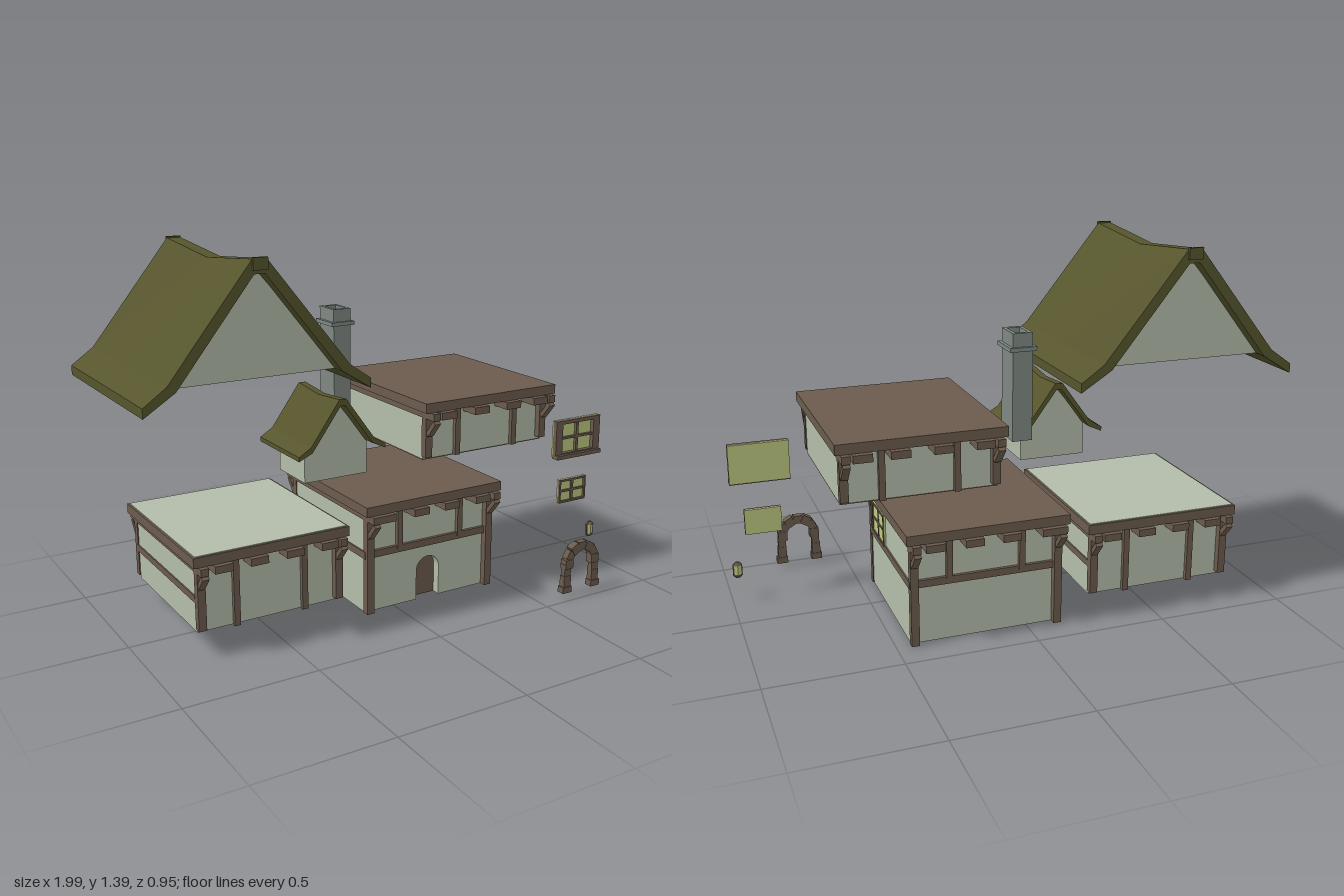
import * as THREE from 'three';

const mat = (name, color) => {
  const m = new THREE.MeshStandardMaterial({ color });
  m.name = name;
  return m;
};
const plaster = mat('plaster', 0xb3bca9);
const timber = mat('timber', 0x6b5b4d);
const thatch = mat('thatch', 0x56552d);
const stone = mat('stone', 0x7f8883);
const glass = mat('glass', 0xbcc880);

const ZC = -0.093; // shared centre line of the buildings

function add(parent, name, geometry, material, x = 0, y = 0, z = 0) {
  const mesh = new THREE.Mesh(geometry, material);
  mesh.name = name;
  mesh.position.set(x, y, z);
  parent.add(mesh);
  return mesh;
}
const box = (parent, name, m, w, h, d, x, y, z) =>
  add(parent, name, new THREE.BoxGeometry(w, h, d), m, x, y, z);

function group(parent, name, x = 0, y = 0, z = 0) {
  const g = new THREE.Group();
  g.name = name;
  g.position.set(x, y, z);
  parent.add(g);
  return g;
}
const polygon = (pts) => new THREE.Shape(pts.map(([x, y]) => new THREE.Vector2(x, y)));
const extrude = (shape, depth) =>
  new THREE.ExtrudeGeometry(shape, { depth, bevelEnabled: false, curveSegments: 8 });

// Bent roof shell: half profiles run from ridge to eave, the ridge sags mid-length
function roofGeometry(outerHalf, innerHalf, z0, z1, sag) {
  const full = (h) => [...h].reverse().map(([x, y]) => [-x, y]).concat(h);
  const outer = full(outerHalf), inner = full(innerHalf);
  const loop = outer.concat([...inner].reverse());
  const top = outerHalf[0][1], low = outerHalf.at(-1)[1];
  const pos = [];
  const at = ([x, y], t) => {
    const k = Math.max(0, (y - low) / (top - low));
    return [x, y - sag * k * (1 - Math.abs(2 * t - 1)), z0 + (z1 - z0) * t];
  };
  const quad = (a, b, c, d) => pos.push(...a, ...b, ...c, ...a, ...c, ...d);
  for (const t of [0, 0.5]) {
    loop.forEach((a, i) => {
      const b = loop[(i + 1) % loop.length];
      quad(at(a, t), at(a, t + 0.5), at(b, t + 0.5), at(b, t));
    });
  }
  for (let i = 0; i < outer.length - 1; i++) {
    quad(at(inner[i], 1), at(inner[i + 1], 1), at(outer[i + 1], 1), at(outer[i], 1));
    quad(at(outer[i], 0), at(outer[i + 1], 0), at(inner[i + 1], 0), at(inner[i], 0));
  }
  const g = new THREE.BufferGeometry();
  g.setAttribute('position', new THREE.Float32BufferAttribute(pos, 3));
  g.computeVertexNormals();
  return g;
}

// Timber-framed storey, identical on front and back
function storey(root, name, o) {
  const g = group(root, name, o.cx, 0, ZC);
  const { w, d, y0, top, slabD, joistD } = o;
  const slabH = 0.037, under = top - slabH, jH = 0.028;
  if (o.door) {
    // Front wall layer holds the arched door recess
    const depth = 0.04, h = under - y0, r = 0.052;
    const { x, spring } = o.door;
    box(g, 'wall', plaster, w, h, d - depth, 0, y0 + h / 2, -depth / 2);
    const s = new THREE.Shape();
    s.moveTo(-w / 2, y0);
    s.lineTo(x - r, y0);
    s.lineTo(x - r, spring);
    s.absarc(x, spring, r, Math.PI, 0, true);
    s.lineTo(x + r, y0);
    s.lineTo(w / 2, y0);
    s.lineTo(w / 2, under);
    s.lineTo(-w / 2, under);
    add(g, 'frontWall', extrude(s, depth), plaster, 0, 0, d / 2 - depth);
    const leaf = new THREE.Shape();
    leaf.moveTo(x - r, y0);
    leaf.lineTo(x + r, y0);
    leaf.lineTo(x + r, spring);
    leaf.absarc(x, spring, r, 0, Math.PI, false);
    add(g, 'door', extrude(leaf, 0.006), timber, 0, 0, d / 2 - depth);
  } else {
    box(g, 'wall', plaster, w, under - y0, d, 0, (under + y0) / 2, 0);
  }
  box(g, 'topFrame', timber, w + 0.045, slabH, slabD, 0, top - slabH / 2, 0);
  if (o.plasterTop) box(g, 'topPanel', plaster, w + 0.03, 0.004, slabD - 0.015, 0, top + 0.001, 0);
  if (o.timberFloor) box(g, 'floor', timber, w, 0.005, d, 0, y0 - 0.002, 0);
  if (o.belt) box(g, 'beltBeam', timber, w + 0.012, 0.028, d + 0.024, 0, o.belt, 0);
  for (const sx of [-1, 1]) {
    box(g, 'sideTopBeam', timber, 0.03, jH, joistD, sx * (w / 2 - 0.01), under - jH / 2, 0);
    if (o.sideBelt) box(g, 'sideBeam', timber, 0.01, 0.025, d, sx * (w / 2), o.sideBelt, 0);
  }
  for (const s of [-1, 1]) {
    const zp = s * (d / 2 + 0.012);
    for (const sx of [-1, 1]) {
      const x = sx * (w / 2 - 0.011), yb = y0 + (o.postLift || 0);
      box(g, 'cornerPost', timber, 0.03, under - yb, 0.028, x, (under + yb) / 2, zp);
      const brace = box(g, 'brace', timber, 0.026, 0.075, 0.018, x, under - 0.062, s * (joistD / 2 - 0.026));
      brace.rotation.x = s * 0.7;
    }
    for (const x of o.mids) {
      const yb = o.belt || y0 - 0.003;
      box(g, 'stud', timber, 0.023, under - yb, 0.02, x - o.cx, (under + yb) / 2, s * (d / 2 + 0.006));
    }
    for (const x of o.joists) {
      box(g, 'joist', timber, 0.068, jH, 0.09, x - o.cx, under - jH / 2, s * (joistD / 2 - 0.045));
    }
  }
  return g;
}

// Four-pane window facing +z with its glass slab behind the bars
function windowPanel(root, name, w, h, side, rail, depth) {
  const g = group(root, name);
  box(g, 'panes', glass, w, h, 0.008, 0, 0, 0.004);
  const z = 0.006 + depth / 2;
  for (const s of [-1, 1]) {
    box(g, 'jamb', timber, side, h, depth, s * (w - side) / 2, 0, z);
    box(g, 'rail', timber, w, rail, depth, 0, s * (h - rail) / 2, z);
  }
  box(g, 'mullion', timber, 0.012, h, depth * 0.7, 0, 0, 0.006 + depth * 0.35);
  box(g, 'crossbar', timber, w, 0.009, depth * 0.7, 0, 0, 0.006 + depth * 0.35);
  return g;
}

export function createModel() {
  const root = new THREE.Group();
  root.name = 'cottageKit';

  // Main roof with recessed gables
  const roof = group(root, 'mainRoof', -0.58, 0, 0);
  add(roof, 'thatchedRoof', roofGeometry(
    [[0.026, 1.385], [0.335, 1.0], [0.42, 0.94]],
    [[0.02, 1.335], [0.305, 0.978], [0.42, 0.905]], -0.467, 0.277, 0.033), thatch);
  for (const s of [-1, 1]) {
    box(roof, 'ridgeTip', thatch, 0.054, 0.042, 0.014, 0, 1.369, -0.095 + s * 0.374);
    const gable = polygon([[-0.305, 0.978], [0.305, 0.978], [0.025, 1.328], [-0.025, 1.328]]);
    add(roof, 'gable', extrude(gable, 0.01), plaster, 0, 0, -0.1 + s * 0.315);
  }

  // Dormer
  const dormer = group(root, 'dormer', -0.22, 0, 0);
  add(dormer, 'dormerRoof', roofGeometry(
    [[0.014, 0.85], [0.13, 0.69], [0.18, 0.66]],
    [[0.01, 0.825], [0.125, 0.668], [0.18, 0.643]], -0.13, 0.183, 0.013), thatch);
  add(dormer, 'dormerWall', extrude(polygon(
    [[-0.13, 0.54], [0.13, 0.54], [0.13, 0.675], [0.012, 0.824], [-0.012, 0.824], [-0.13, 0.675]]), 0.198),
  plaster, 0, 0, -0.07);

  // Chimney with an open flue
  const chimney = group(root, 'chimney', 0, 0, -0.262);
  box(chimney, 'stack', stone, 0.075, 0.345, 0.112, 0, 0.8775, 0);
  box(chimney, 'collar', stone, 0.1, 0.015, 0.13, 0, 1.0425, 0);
  const rect = (x, y) => [[-x, -y], [x, -y], [x, y], [-x, y]];
  const flue = polygon(rect(0.0375, 0.056));
  flue.holes.push(polygon(rect(0.024, 0.04)));
  add(chimney, 'flue', extrude(flue, 0.05), stone, 0, 1.05, 0).rotation.x = -Math.PI / 2;

  // Three storeys
  storey(root, 'sideHall', {
    cx: -0.53, w: 0.565, d: 0.565, y0: 0.09, top: 0.385, slabD: 0.655, joistD: 0.695,
    mids: [-0.665, -0.395], joists: [-0.73, -0.595, -0.455, -0.315],
    postLift: 0.012, sideBelt: 0.215, plasterTop: true,
  });
  storey(root, 'groundStorey', {
    cx: 0.157, w: 0.57, d: 0.547, y0: 0, top: 0.44, slabD: 0.655, joistD: 0.695,
    mids: [0.02, 0.297], joists: [-0.07, 0.08, 0.22, 0.365],
    belt: 0.234, door: { x: 0, spring: 0.12 },
  });
  storey(root, 'upperStorey', {
    cx: 0.4, w: 0.565, d: 0.575, y0: 0.577, top: 0.805, slabD: 0.687, joistD: 0.733,
    mids: [0.268, 0.537], joists: [0.185, 0.335, 0.485, 0.615],
    postLift: 0.01, timberFloor: true,
  });

  // Windows
  const sideWindow = windowPanel(root, 'sideWindow', 0.172, 0.125, 0.009, 0.009, 0.006);
  sideWindow.position.set(0.44, 0.308, 0.049);
  sideWindow.rotation.y = Math.PI / 2;
  windowPanel(root, 'smallWindow', 0.14, 0.1, 0.008, 0.008, 0.012).position.set(0.867, 0.325, 0.181);
  const large = windowPanel(root, 'largeWindow', 0.23, 0.152, 0.034, 0.015, 0.02);
  large.position.set(0.868, 0.559, 0.19);
  box(large, 'sill', timber, 0.23, 0.016, 0.035, 0, -0.074, 0.022);

  // Lantern
  const lantern = group(root, 'lantern', 0.975, 0.13, 0.195);
  lantern.scale.z = 0.6;
  const drum = (name, m, a, b, h, y) =>
    add(lantern, name, new THREE.CylinderGeometry(a, b, h, 6).toNonIndexed(), m, 0, y, 0).geometry.computeVertexNormals();
  drum('lamp', glass, 0.016, 0.014, 0.044, 0);
  drum('lid', timber, 0.008, 0.021, 0.014, 0.027);
  drum('base', timber, 0.019, 0.01, 0.01, -0.026);
  for (const s of [-1, 1]) box(lantern, 'rib', timber, 0.006, 0.046, 0.008, s * 0.015, 0, 0);

  // Block-built door arch
  const arch = group(root, 'doorArch', 0.692, 0, 0.458);
  for (const s of [-1, 1]) {
    box(arch, 'foot', timber, 0.043, 0.025, 0.032, s * 0.071, 0.0325, 0);
    box(arch, 'lowerShaft', timber, 0.034, 0.045, 0.026, s * 0.07, 0.067, 0);
    box(arch, 'upperShaft', timber, 0.031, 0.048, 0.022, s * 0.069, 0.113, 0);
  }
  for (let i = 0; i < 7; i++) {
    const a = (i * Math.PI) / 6, big = i % 2 ? 0 : 0.004;
    const block = box(arch, 'archStone', timber, 0.033 + big, 0.037, 0.028 + big,
      Math.cos(a) * 0.065, 0.138 + Math.sin(a) * 0.065, 0);
    block.rotation.z = a;
  }
  return root;
}
